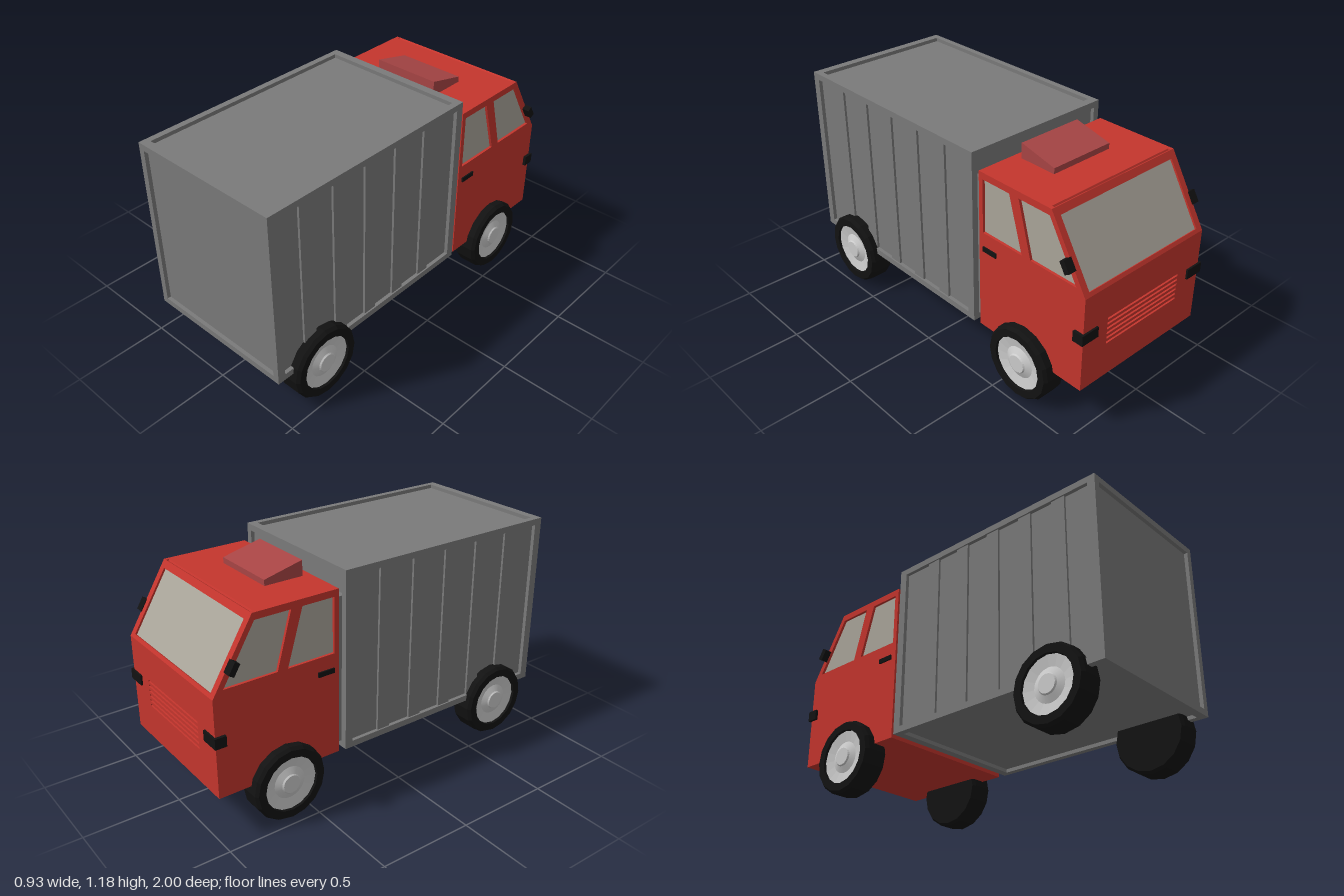
import * as THREE from 'three';

const mat = (color, extra = {}) => new THREE.MeshStandardMaterial({ color, ...extra });
const RED = mat(0xc4352d), SPOILER = mat(0xa84545), GREY = mat(0x7a7a7a), GLASS = mat(0xaaa59a);
const BLACK = mat(0x121212, { flatShading: true }), RIM = mat(0xcccccc, { flatShading: true }), HUB = mat(0xcccccc);

function add(parent, name, geometry, material) {
  const mesh = new THREE.Mesh(geometry, material);
  mesh.name = name;
  parent.add(mesh);
  return mesh;
}

// Box given by its minimum and maximum on each axis
function block(parent, name, material, [x0, x1], [y0, y1], [z0, z1]) {
  const mesh = add(parent, name, new THREE.BoxGeometry(x1 - x0, y1 - y0, z1 - z0), material);
  mesh.position.set((x0 + x1) / 2, (y0 + y1) / 2, (z0 + z1) / 2);
  return mesh;
}

const toShape = (pts) => new THREE.Shape(pts.map(([a, b]) => new THREE.Vector2(a, b)));
const rect = (x0, x1, y0, y1) => [[x0, y0], [x1, y0], [x1, y1], [x0, y1]];

function plate(outline, holes, depth) {
  const shape = toShape(outline);
  shape.holes = holes.map(toShape);
  return new THREE.ExtrudeGeometry(shape, { depth, bevelEnabled: false });
}

// Side-on profile (forward, up) extruded across the truck from x to x + depth
const across = (outline, holes, x, depth) =>
  plate(outline, holes, depth).rotateY(Math.PI / 2).translate(x, 0, 0);

const SLOPE = Math.atan2(0.215, 0.355); // windscreen lean

function buildCab() {
  const cab = new THREE.Group();
  cab.name = 'cab';
  const profile = [[0.315, 0.235], [0.99, 0.235], [0.99, 0.745], [0.775, 1.1], [0.315, 1.1]];
  const core = [[0.315, 0.235], [0.975, 0.235], [0.975, 0.741], [0.757, 1.1], [0.315, 1.1]];
  const windows = [
    [[0.34, 0.78], [0.6, 0.78], [0.515, 1.065], [0.34, 1.065]],
    [[0.655, 0.78], [0.935, 0.78], [0.765, 1.065], [0.575, 1.065]],
  ];
  add(cab, 'cabCore', across(core, [], -0.39, 0.78), RED);

  // Side panels with recessed windows, handles, mirrors and corner lamps
  for (const s of [1, -1]) {
    add(cab, 'sidePanel', across(profile, windows, s > 0 ? 0.39 : -0.41, 0.02), RED);
    for (const w of windows) add(cab, 'sideWindow', across(w, [], s * 0.392 - 0.004, 0.008), GLASS);
    const handle = add(cab, 'doorHandle', new THREE.BoxGeometry(0.02, 0.025, 0.09), BLACK);
    handle.position.set(s * 0.408, 0.695, -0.39);
    const mirror = add(cab, 'mirror', new THREE.BoxGeometry(0.045, 0.065, 0.03), BLACK);
    mirror.position.set(s * 0.426, 0.88, -0.895);
    mirror.rotation.x = SLOPE;
    const lamp = add(cab, 'cornerLamp', new THREE.BoxGeometry(0.105, 0.055, 0.06), BLACK);
    lamp.position.set(s * 0.3725, 0.532, -0.97);
  }

  // Front panel with grille slots
  const slots = [];
  for (let i = 0; i < 6; i++) slots.push(rect(-0.25, 0.25, 0.42 + i * 0.027, 0.432 + i * 0.027));
  add(cab, 'frontPanel', plate(rect(-0.39, 0.39, 0.235, 0.745), slots, 0.015).translate(0, 0, -0.99), RED);

  // Leaning windscreen frame and glass
  const pane = rect(-0.375, 0.375, 0.02, 0.376);
  const frame = add(cab, 'windscreenFrame', plate(rect(-0.39, 0.39, 0, 0.415), [pane], 0.015), RED);
  const glass = add(cab, 'windscreen', plate(pane, [], 0.006).translate(0, 0, 0.01), GLASS);
  for (const m of [frame, glass]) {
    m.position.set(0, 0.745, -0.99);
    m.rotation.x = SLOPE;
  }

  // Roof wedge
  const wedge = [[0.36, 1.095], [0.57, 1.095], [0.57, 1.13], [0.36, 1.18]];
  add(cab, 'roofSpoiler', across(wedge, [], -0.185, 0.37), SPOILER);
  return cab;
}

function buildCargo() {
  const cargo = new THREE.Group();
  cargo.name = 'cargoBox';
  const X = [-0.425, 0.425], Y = [0.24, 1.185], Z = [-0.285, 1];
  const tx = 0.033, ty = 0.033, tz = 0.043;
  block(cargo, 'cargoPanels', GREY, [-0.405, 0.405], [0.26, 1.165], [-0.265, 0.98]);

  // Edge beams along each axis
  const ends = ([a, b], t) => [[a, a + t], [b - t, b]];
  for (const y of ends(Y, ty)) {
    for (const x of ends(X, tx)) block(cargo, 'lengthBeam', GREY, x, y, Z);
    for (const z of ends(Z, tz)) block(cargo, 'crossBeam', GREY, X, y, z);
  }
  for (const x of ends(X, tx)) for (const z of ends(Z, tz)) block(cargo, 'cornerPost', GREY, x, Y, z);

  // Raised vertical ribs on both sides
  for (const s of [1, -1]) {
    for (let i = 0; i < 5; i++) {
      const rib = add(cargo, 'sideRib', new THREE.BoxGeometry(0.02, 0.88, 0.075), GREY);
      rib.position.set(s * 0.407, 0.712, 0.78 - i * 0.205);
    }
  }
  return cargo;
}

function buildWheel() {
  const wheel = new THREE.Group();
  wheel.name = 'wheel';
  const lathe = (pts, n) =>
    new THREE.LatheGeometry(pts.map(([r, h]) => new THREE.Vector2(r, h)), n).rotateZ(-Math.PI / 2);
  add(wheel, 'tyre', lathe([[0, -0.0675], [0.185, -0.0675], [0.197, -0.05], [0.197, 0.05],
    [0.185, 0.0675], [0.145, 0.0675], [0.14, 0.045]], 16), BLACK);
  add(wheel, 'rim', lathe([[0.143, 0.055], [0.085, 0.045], [0, 0.045]], 16), RIM);
  add(wheel, 'hubCone', lathe([[0.085, 0.045], [0.052, 0.06]], 24), HUB);
  add(wheel, 'hubCap', lathe([[0.052, 0.06], [0.046, 0.067], [0, 0.067]], 24), RIM);
  return wheel;
}

export function createModel() {
  const truck = new THREE.Group();
  truck.name = 'truck';
  truck.add(buildCab(), buildCargo());
  block(truck, 'cabConnector', GREY, [-0.39, 0.39], [0.275, 1.05], [-0.325, -0.255]);

  // Four wheels, outer faces outward
  for (const s of [1, -1]) {
    for (const z of [0.72, -0.63]) {
      const wheel = buildWheel();
      wheel.position.set(s * 0.3975, 0.197, z);
      if (s < 0) wheel.rotation.y = Math.PI;
      truck.add(wheel);
    }
  }
  return truck;
}
